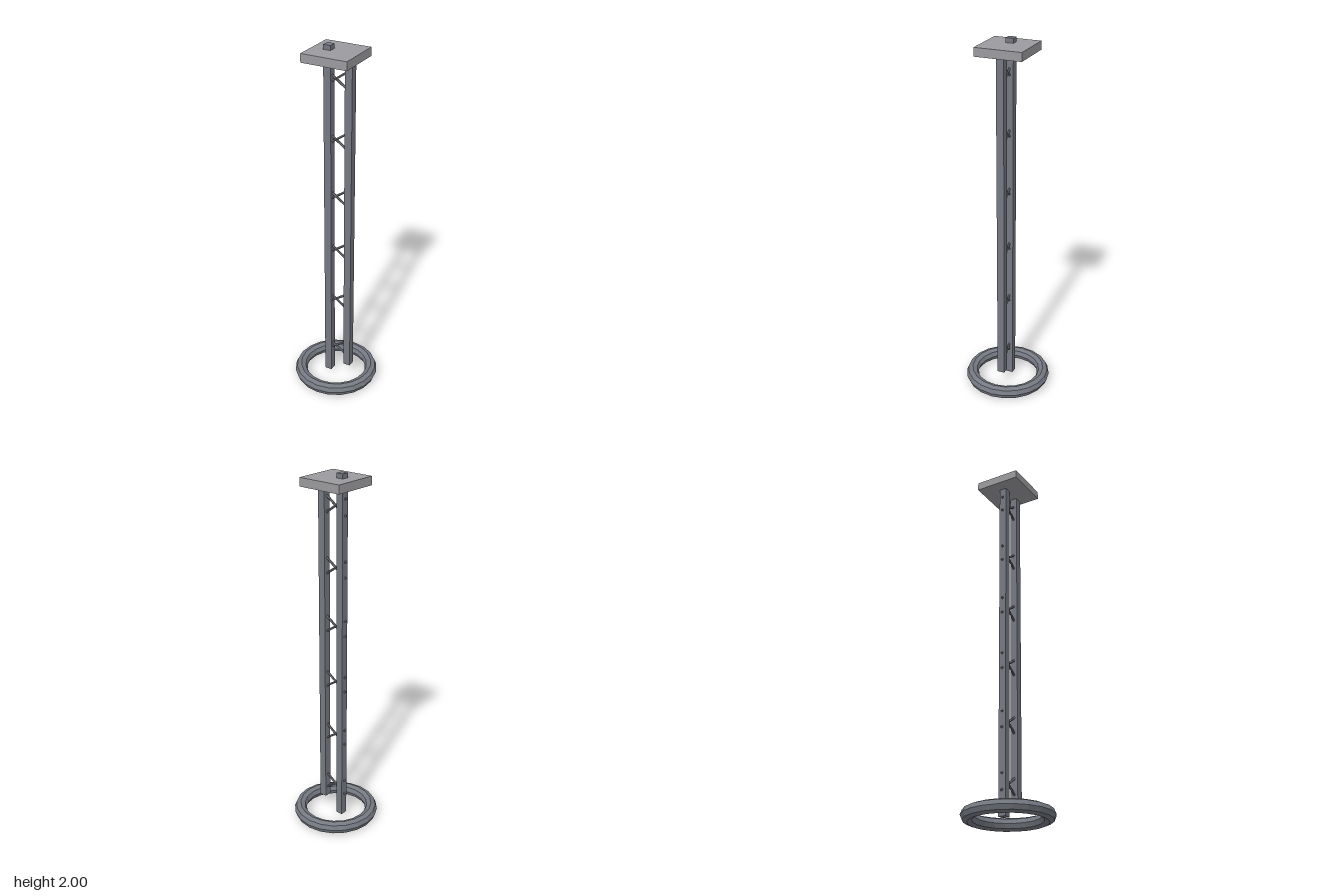
import * as THREE from 'three';

export function createModel() {
  const model = new THREE.Group();
  const steel = new THREE.MeshStandardMaterial({ color: 0x757982, flatShading: true });
  steel.name = 'blue grey steel';
  const paleMetal = new THREE.MeshStandardMaterial({ color: 0x9b9a9e, flatShading: true });
  paleMetal.name = 'pale grey metal';

  const add = (name, geometry, material, x, y, z = 0) => {
    const mesh = new THREE.Mesh(geometry, material);
    mesh.name = name;
    mesh.position.set(x, y, z);
    model.add(mesh);
    return mesh;
  };

  // Low-poly ring foot lying flat on the ground
  const ring = new THREE.TorusGeometry(0.205, 0.035, 8, 20).rotateX(-Math.PI / 2);
  add('baseRing', ring, steel, 0, 0.035);

  // Upright post from bottom to top height
  const post = (name, x, bottom, top) =>
    add(name, new THREE.BoxGeometry(0.041, top - bottom, 0.041), steel, x, (bottom + top) / 2);
  post('rightPost', -0.041, 0.02, 2);
  post('leftPost', 0.08, 0.094, 1.95);

  // Square plate on top, pierced by the taller post
  add('topPlate', new THREE.BoxGeometry(0.255, 0.046, 0.255), paleMetal, 0, 1.952);

  // Crossed braces between the posts
  const bar = new THREE.CylinderGeometry(0.0065, 0.0065, 0.164, 6);
  for (let i = 0; i < 6; i++) {
    for (const side of [-1, 1]) {
      const brace = add('crossBrace', bar, steel, 0, 0.195 + i * 0.327);
      brace.rotation.z = side * THREE.MathUtils.degToRad(55);
    }
  }
  return model;
}
